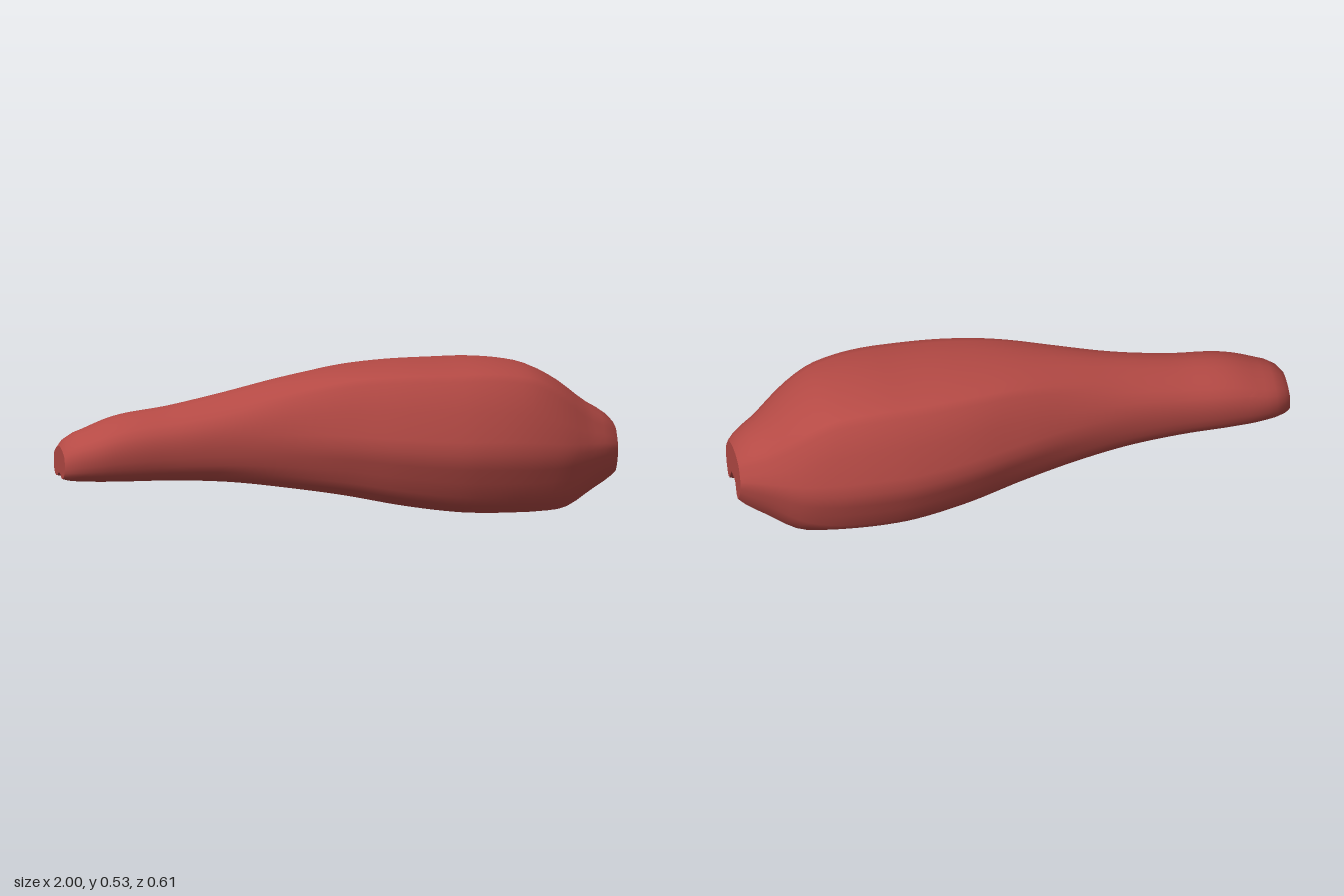
import * as THREE from 'three';
import { toCreasedNormals } from 'three/addons/utils/BufferGeometryUtils.js';

// Half cross-sections from top centre to the lip of the underside groove:
// [fraction of half width, fraction of height]
const TAIL = [[0, 1], [0.25, 0.98], [0.48, 0.92], [0.63, 0.87], [0.77, 0.81], [0.93, 0.71], [0.99, 0.56], [1, 0.45],
  [0.98, 0.33], [0.94, 0.22], [0.87, 0.13], [0.75, 0.05], [0.6, 0], [0.5, 0], [0.3, 0.03]];
const HUMP = [[0, 1], [0.26, 0.992], [0.53, 0.97], [0.66, 0.945], [0.74, 0.905], [0.86, 0.7], [0.98, 0.51], [1, 0.42],
  [0.97, 0.32], [0.89, 0.22], [0.85, 0.12], [0.77, 0.06], [0.62, 0], [0.56, 0], [0.37, 0.035]];
const NOSE = [[0, 1], [0.3, 0.985], [0.55, 0.93], [0.7, 0.885], [0.78, 0.81], [0.9, 0.69], [0.98, 0.58], [1, 0.5],
  [0.97, 0.4], [0.93, 0.3], [0.88, 0.22], [0.78, 0.1], [0.65, 0], [0.6, 0], [0.47, 0.03]];

// Stations along the body: x, bottom, top, half width, groove ceiling
const STATIONS = [
  [-1, 0.16, 0.27, 0.085, 0.175],
  [-0.98, 0.156, 0.295, 0.105, 0.175],
  [-0.9, 0.152, 0.332, 0.135, 0.175],
  [-0.8, 0.15, 0.369, 0.147, 0.173],
  [-0.6, 0.147, 0.4, 0.15, 0.166],
  [-0.4, 0.135, 0.44, 0.163, 0.155],
  [-0.2, 0.11, 0.482, 0.192, 0.15],
  [0, 0.08, 0.513, 0.237, 0.152],
  [0.2, 0.041, 0.528, 0.281, 0.155],
  [0.4, 0.012, 0.53, 0.303, 0.16],
  [0.5, 0.005, 0.53, 0.301, 0.162],
  [0.6, 0.002, 0.521, 0.29, 0.164],
  [0.7, 0.001, 0.498, 0.268, 0.166],
  [0.8, 0.01, 0.443, 0.233, 0.168],
  [0.9, 0.062, 0.365, 0.177, 0.17],
  [0.98, 0.105, 0.313, 0.13, 0.17],
  [1, 0.12, 0.29, 0.113, 0.17],
];

const along = new THREE.CubicInterpolant(
  STATIONS.map((s) => s[0]), STATIONS.flatMap((s) => s.slice(1)), 4);

// Full closed cross-section at x, as [z, y] pairs
function section(x) {
  const [bottom, top, halfWidth, ceiling] = along.evaluate(x);
  const toHump = THREE.MathUtils.smoothstep(x, -0.5, 0.1);
  const toNose = THREE.MathUtils.smoothstep(x, 0.65, 0.98);
  const mix = (i, k) => THREE.MathUtils.lerp(
    THREE.MathUtils.lerp(TAIL[i][k], HUMP[i][k], toHump), NOSE[i][k], toNose);
  const half = TAIL.map((_, i) => [mix(i, 0) * halfWidth, bottom + mix(i, 1) * (top - bottom)]);
  const inner = THREE.MathUtils.lerp(0.018, 0.03, toHump);
  half.push([inner, ceiling - 0.004], [inner * 0.5, ceiling], [0, ceiling]);
  const mirrored = half.slice(1, -1).reverse().map(([z, y]) => [-z, y]);
  return [...half, ...mirrored];
}

function bodyGeometry() {
  const xs = [-1];
  const steps = 56;
  for (let i = 0; i <= steps; i++) xs.push(-0.98 + (1.96 * i) / steps);
  xs.push(1);

  const rings = xs.map(section);
  const n = rings[0].length;
  const positions = rings.flatMap((ring, i) => ring.flatMap(([z, y]) => [xs[i], y, z]));
  const index = [];

  // Skin between neighbouring rings
  for (let i = 0; i < rings.length - 1; i++) {
    for (let j = 0; j < n; j++) {
      const a = i * n + j, b = i * n + ((j + 1) % n);
      index.push(a, b, a + n, b, b + n, a + n);
    }
  }

  // Flat caps at both ends
  const cap = (i, flip) => {
    const outline = rings[i].map(([z, y]) => new THREE.Vector2(-z, y));
    for (const [a, b, c] of THREE.ShapeUtils.triangulateShape(outline, [])) {
      const o = i * n;
      index.push(o + a, o + (flip ? c : b), o + (flip ? b : c));
    }
  };
  cap(0, true);
  cap(rings.length - 1, false);

  const geometry = new THREE.BufferGeometry();
  geometry.setAttribute('position', new THREE.Float32BufferAttribute(positions, 3));
  geometry.setIndex(index);
  return toCreasedNormals(geometry, 0.6);
}

export function createModel() {
  const red = new THREE.MeshStandardMaterial({ color: 0xb54a45 });
  red.name = 'brick red';

  const body = new THREE.Mesh(bodyGeometry(), red);
  body.name = 'groovedBody';

  const model = new THREE.Group();
  model.name = 'model';
  model.add(body);
  return model;
}
